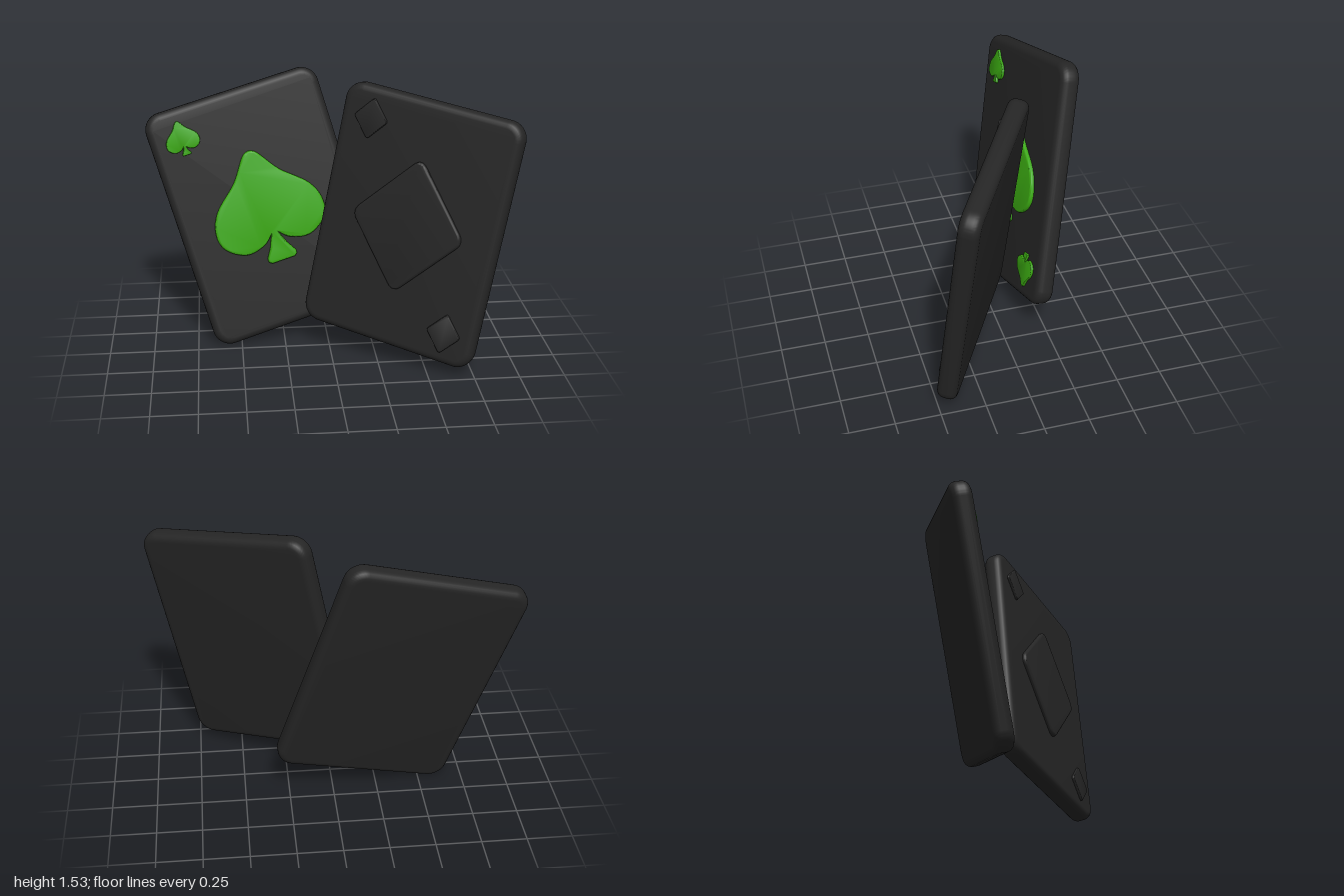
import * as THREE from 'three';
import { toCreasedNormals } from 'three/addons/utils/BufferGeometryUtils.js';

const W = 1.02, H = 1.39, T = 0.11;
const dark = new THREE.MeshStandardMaterial({ color: 0x252525 });
const green = new THREE.MeshStandardMaterial({ color: 0x39a511 });

// Polygon with every corner rounded by distance r along its edges
function roundedPolygon(points, r) {
  const pts = points.map(([x, y]) => new THREE.Vector2(x, y));
  const toward = (a, b) => a.clone().add(b.clone().sub(a).setLength(r));
  const shape = new THREE.Shape();
  pts.forEach((p, i) => {
    const a = toward(p, pts[(i + pts.length - 1) % pts.length]);
    const b = toward(p, pts[(i + 1) % pts.length]);
    if (i === 0) shape.moveTo(a.x, a.y);
    else shape.lineTo(a.x, a.y);
    shape.quadraticCurveTo(p.x, p.y, b.x, b.y);
  });
  shape.closePath();
  return shape;
}

// Card outline with circular corners
function cardShape(r) {
  const x = W / 2 - r, y = H / 2 - r;
  const shape = new THREE.Shape();
  [[x, y], [-x, y], [-x, -y], [x, -y]].forEach(([cx, cy], i) =>
    shape.absarc(cx, cy, r, i * Math.PI / 2, (i + 1) * Math.PI / 2, false));
  return shape;
}

// Spade outline: left half drawn from tip to stem, then mirrored
function spadeShape() {
  const lobe = new THREE.SplineCurve([
    [0, 0.34], [-0.045, 0.315], [-0.135, 0.19], [-0.275, 0.06], [-0.322, -0.06],
    [-0.295, -0.16], [-0.19, -0.225], [-0.08, -0.205], [-0.022, -0.155],
  ].map(([x, y]) => new THREE.Vector2(x, y))).getPoints(40);
  const stem = [[-0.05, -0.225], [-0.086, -0.285], [-0.085, -0.305], [-0.068, -0.318]]
    .map(([x, y]) => new THREE.Vector2(x, y));
  const left = [...lobe, ...stem];
  const right = left.slice(1).reverse().map((p) => new THREE.Vector2(-p.x, p.y));
  return new THREE.Shape([...left, ...right]);
}

// Solid of the given thickness with rounded edges, starting at z = 0
function slab(shape, thickness, edge, round, curveSegments = 10) {
  const geo = new THREE.ExtrudeGeometry(shape, {
    depth: thickness - edge - round, bevelThickness: edge, bevelSize: edge,
    bevelOffset: -edge, bevelSegments: 5, curveSegments,
  });
  geo.translate(0, 0, edge);
  return toCreasedNormals(geo, 0.7);
}

const cardGeo = slab(cardShape(0.1), T, 0.04, 0.04).translate(0, 0, -T / 2);
const spadeGeo = slab(spadeShape(), 0.04, 0.012, 0.012);
const diamondGeo = slab(
  roundedPolygon([[0, 0.385], [-0.33, 0], [0, -0.385], [0.33, 0]], 0.06), 0.04, 0.012, 0.012);

// Card with a large centre pip and two small corner pips
function makeCard(name, pipName, pipGeo, pipMaterial, center, across, up) {
  const card = new THREE.Group();
  card.name = name;
  const body = new THREE.Mesh(cardGeo, dark);
  body.name = name + 'Body';
  card.add(body);

  const addPip = (label, x, y, s, depth, turn) => {
    const pip = new THREE.Mesh(pipGeo, pipMaterial);
    pip.name = label + pipName;
    pip.position.set(x, y, T / 2 - 0.018 * depth);
    pip.scale.set(s, s, depth);
    pip.rotation.z = turn;
    card.add(pip);
  };
  addPip('center', 0, 0, 1, 1, 0);
  addPip('upperCorner', -0.33, 0.52, 0.3, 0.6, 0);
  addPip('lowerCorner', 0.33, -0.52, 0.3, 0.6, Math.PI);

  // Orient by the card's width and height directions
  const u = new THREE.Vector3(...across).normalize();
  const n = u.clone().cross(new THREE.Vector3(...up)).normalize();
  const v = n.clone().cross(u);
  card.quaternion.setFromRotationMatrix(new THREE.Matrix4().makeBasis(u, v, n));
  card.position.set(...center);
  return card;
}

export function createModel() {
  const model = new THREE.Group();
  model.name = 'playingCards';
  model.add(
    makeCard('spadeCard', 'Spade', spadeGeo, green,
      [-0.345, 0.775, -0.26], [0.955, 0.259, -0.145], [-0.27, 0.944, -0.19]),
    makeCard('diamondCard', 'Diamond', diamondGeo, dark,
      [0.43, 0.8, 0.18], [0.85, -0.14, 0.508], [0.186, 0.98, -0.063]),
  );
  return model;
}
